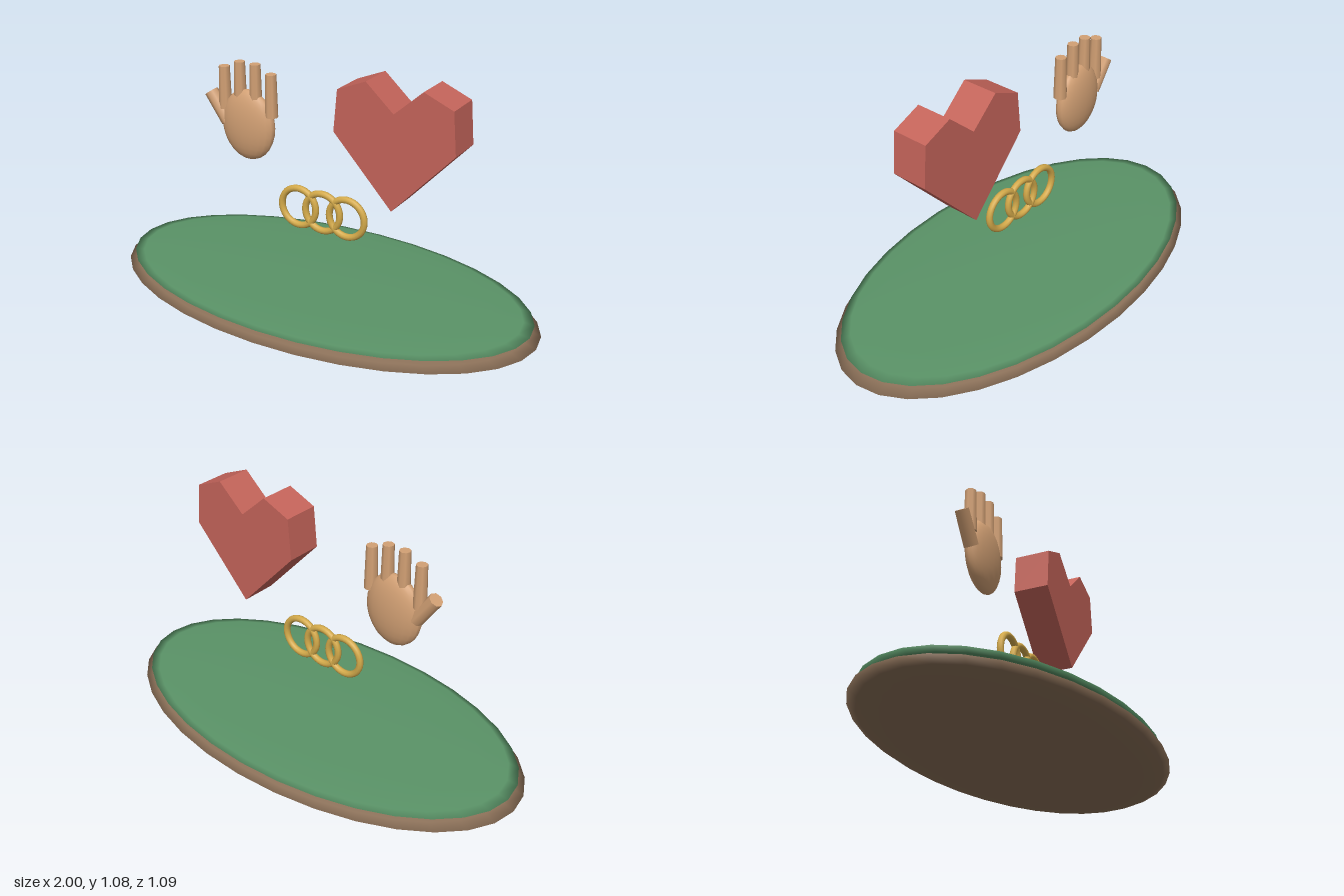
import * as THREE from 'three';

const mat = (color) => new THREE.MeshStandardMaterial({ color });

function add(parent, name, geometry, material, x = 0, y = 0, z = 0) {
  const mesh = new THREE.Mesh(geometry, material);
  mesh.name = name;
  mesh.position.set(x, y, z);
  parent.add(mesh);
  return mesh;
}

// Sphere squashed to the given half-sizes
function ellipsoid(rx, ry, rz, w, h) {
  return new THREE.SphereGeometry(1, w, h).scale(rx, ry, rz);
}

// Heart silhouette mirrored about its own centre line, extruded along z
function heartGeometry(depth) {
  const half = [[0, 0.55], [0.272, 0.842], [0.256, 1.024], [0.126, 1.078], [0, 0.965]];
  const left = half.slice(1, 4).reverse().map(([x, y]) => [-x, y]);
  const shape = new THREE.Shape([...half, ...left].map(([x, y]) => new THREE.Vector2(x, y)));
  return new THREE.ExtrudeGeometry(shape, { depth, bevelEnabled: false }).translate(0, 0, -depth / 2);
}

export function createModel() {
  const model = new THREE.Group();
  const brown = mat(0x8b7058), green = mat(0x5a9367), skin = mat(0xd2a074);
  const gold = mat(0xd4aa4a), red = mat(0xc4645a);

  // Oval base with a green top
  add(model, 'base', ellipsoid(1, 0.06, 0.545, 32, 10), brown, 0, 0.06);
  add(model, 'baseTop', ellipsoid(0.97, 0.02, 0.522, 32, 10), green, 0, 0.104);

  // Open hand
  const hand = new THREE.Group();
  hand.name = 'hand';
  model.add(hand);
  add(hand, 'palm', ellipsoid(0.134, 0.16, 0.05, 20, 14), skin, -0.374, 0.757);
  [[-0.495, 1.003], [-0.414, 1.035], [-0.334, 1.035], [-0.254, 1.003]].forEach(([x, top], i) => {
    const length = i === 0 || i === 3 ? 0.19 : 0.21;
    add(hand, 'finger' + (i + 1), new THREE.CylinderGeometry(0.024, 0.029, length, 8), skin, x, top - length / 2);
  });
  const thumb = add(hand, 'thumb', new THREE.CylinderGeometry(0.031, 0.033, 0.15, 8), skin, -0.525, 0.815);
  thumb.rotation.z = 0.63;

  // Three linked rings
  const rings = new THREE.Group();
  rings.name = 'rings';
  model.add(rings);
  [-0.12, 0, 0.12].forEach((x, i) => {
    add(rings, 'ring' + (i + 1), new THREE.TorusGeometry(0.086, 0.015, 10, 32), gold, x, 0.425);
  });

  // Faceted heart
  add(model, 'heart', heartGeometry(0.162), red, 0.373);

  return model;
}
